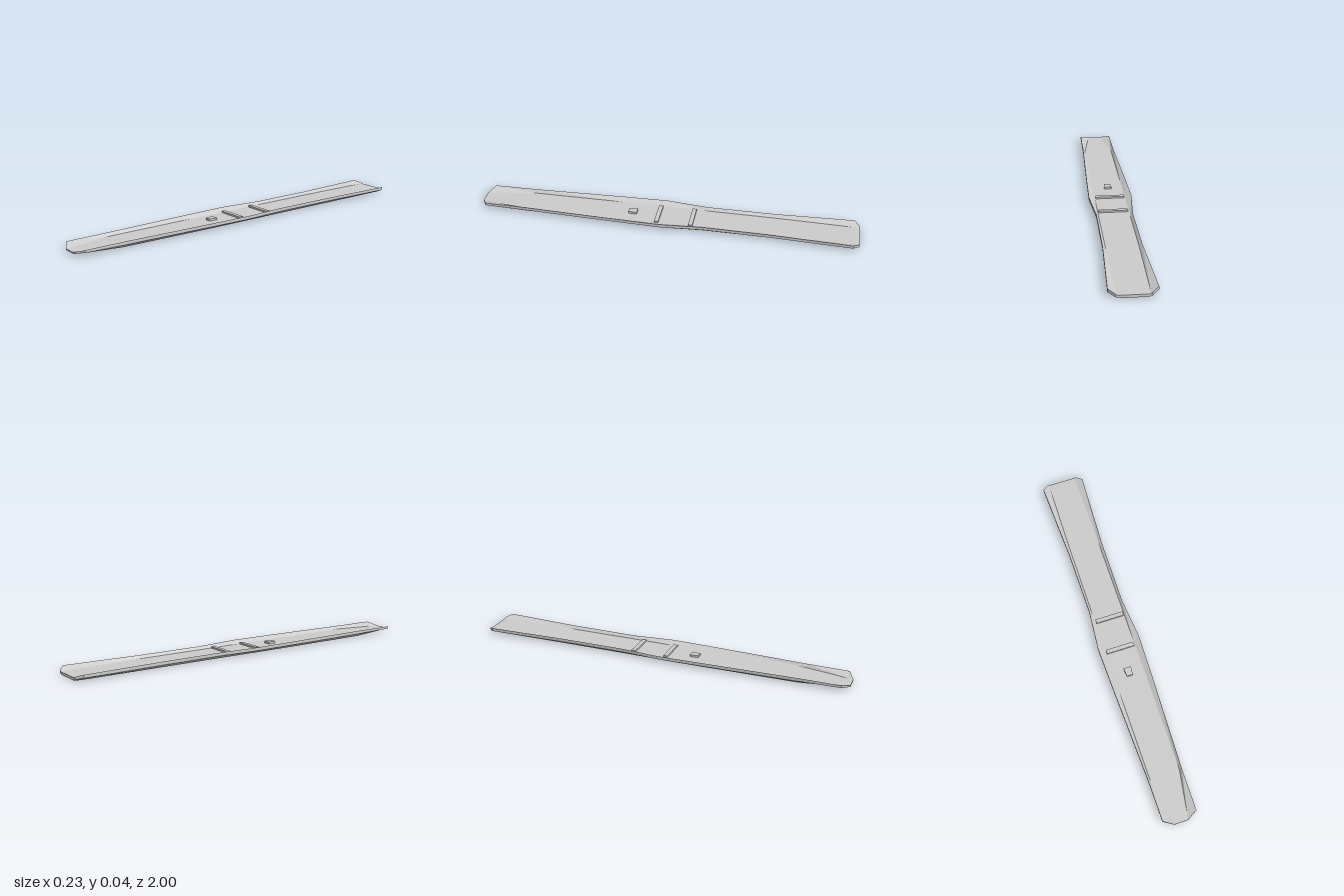
import * as THREE from 'three';

// Cross-sections, back to front:
// [z, rim half width, floor half width, keel half width, keel y, rim bottom y, floor y, rim top y]
const SECTIONS = [
  [-1.0, 0.08, 0.07, 0.065, 0.002, 0.008, 0.016, 0.022],
  [-0.97, 0.113, 0.075, 0.072, 0, 0.018, 0.017, 0.034],
  [-0.55, 0.095, 0.08, 0.073, 0, 0.016, 0.018, 0.033],
  [-0.2, 0.093, 0.08, 0.073, 0, 0.016, 0.018, 0.033],
  [0.02, 0.113, 0.08, 0.075, 0, 0.018, 0.018, 0.035],
  [0.25, 0.107, 0.08, 0.075, 0, 0.018, 0.018, 0.035],
  [0.75, 0.09, 0.078, 0.068, 0, 0.017, 0.017, 0.034],
  [0.97, 0.088, 0.042, 0.04, 0.006, 0.02, 0.015, 0.033],
  [1.0, 0.036, 0.034, 0.034, 0.008, 0.009, 0.015, 0.016],
];

// Shallow dished plank lofted through the sections
function plankGeometry() {
  const pos = [];
  const index = [];
  for (const [z, w, f, k, ky, rb, fy, rt] of SECTIONS) {
    const ring = [[-k, ky], [k, ky], [w, rb], [w, rt], [f, fy], [-f, fy], [-w, rt], [-w, rb]];
    for (const [x, y] of ring) pos.push(x, y, z);
  }
  const quad = (a, b, c, d) => index.push(a, b, c, a, c, d);
  for (let i = 0; i < SECTIONS.length - 1; i++) {
    for (let j = 0; j < 8; j++) {
      const n = (j + 1) % 8;
      quad(i * 8 + j, i * 8 + n, i * 8 + 8 + n, i * 8 + 8 + j);
    }
  }
  // End caps: the middle and the two raised sides
  const last = (SECTIONS.length - 1) * 8;
  for (const [a, b, c, d] of [[0, 1, 4, 5], [1, 2, 3, 4], [0, 5, 6, 7]]) {
    quad(last + a, last + b, last + c, last + d);
    quad(d, c, b, a);
  }
  const geo = new THREE.BufferGeometry();
  geo.setAttribute('position', new THREE.Float32BufferAttribute(pos, 3));
  geo.setIndex(index);
  const flat = geo.toNonIndexed();
  flat.computeVertexNormals();
  return flat;
}

export function createModel() {
  const model = new THREE.Group();
  const material = new THREE.MeshStandardMaterial({ color: 0xcccccc, flatShading: true });
  const add = (name, geometry, x = 0, y = 0, z = 0) => {
    const mesh = new THREE.Mesh(geometry, material);
    mesh.name = name;
    mesh.position.set(x, y, z);
    model.add(mesh);
  };

  add('plank', plankGeometry());

  // Two low cross bars
  const bar = new THREE.BoxGeometry(0.15, 0.014, 0.022);
  add('rearCrossBar', bar, 0, 0.02, -0.135);
  add('frontCrossBar', bar, 0, 0.02, 0.045);

  // Small block ahead of the bars, narrowing toward the front
  const block = new THREE.BoxGeometry(0.04, 0.014, 0.045);
  const p = block.attributes.position;
  for (let i = 0; i < p.count; i++) if (p.getZ(i) > 0) p.setX(i, p.getX(i) * 0.8);
  block.computeVertexNormals();
  add('block', block, 0, 0.022, 0.183);

  return model;
}
